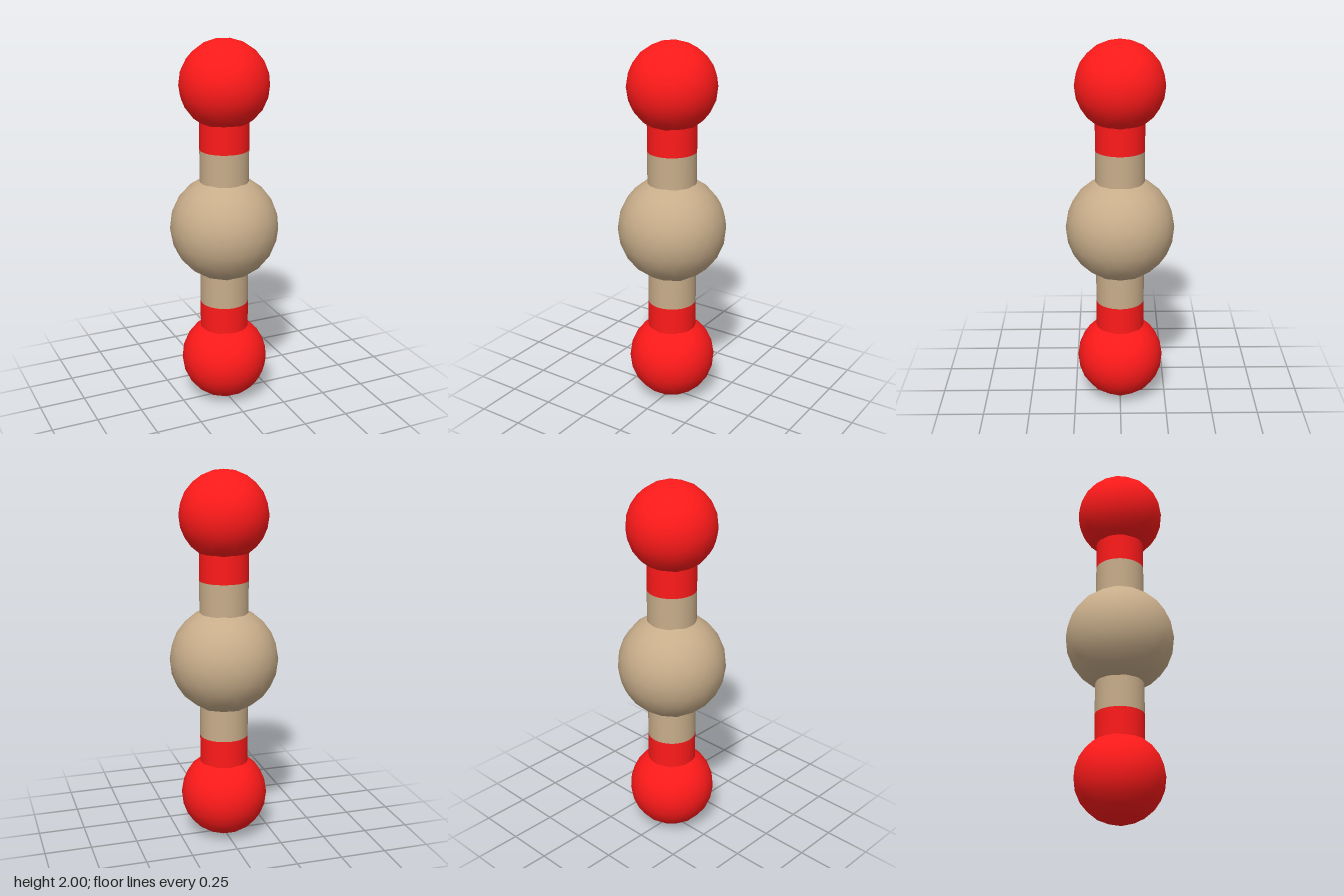
import * as THREE from 'three';

const red = new THREE.MeshStandardMaterial({ color: 0xff1a1a });
const tan = new THREE.MeshStandardMaterial({ color: 0xc8ad8a });

const MID = 1;          // height of the central ball
const ARM = 0.766;      // distance between ball centres
const SPLIT = 0.427;    // where a rod changes colour, from the middle
const ROD_RADIUS = 0.13;

export function createModel() {
  const model = new THREE.Group();
  model.name = 'ballAndStickModel';

  const add = (name, geometry, material, y) => {
    const mesh = new THREE.Mesh(geometry, material);
    mesh.name = name;
    mesh.position.y = y;
    model.add(mesh);
  };

  // Smooth-shaded faceted ball with one corner pointing straight up
  const ball = (name, radius, material, y) => {
    const geometry = new THREE.IcosahedronGeometry(radius, 3);
    geometry.rotateZ(Math.atan(2 / (1 + Math.sqrt(5))));
    add(name, geometry, material, y);
  };

  // Open rod section; its ends are hidden in the balls or meet the next section
  const rod = (name, material, from, to) => {
    const geometry = new THREE.CylinderGeometry(ROD_RADIUS, ROD_RADIUS, Math.abs(to - from), 32, 1, true);
    add(name, geometry, material, (from + to) / 2);
  };

  ball('centreBall', 0.29, tan, MID);

  // Upper and lower arms are mirror images
  for (const [side, s] of [['upper', 1], ['lower', -1]]) {
    rod(side + 'InnerRod', tan, MID, MID + s * SPLIT);
    rod(side + 'OuterRod', red, MID + s * SPLIT, MID + s * ARM);
    ball(side + 'Ball', 0.234, red, MID + s * ARM);
  }

  return model;
}
